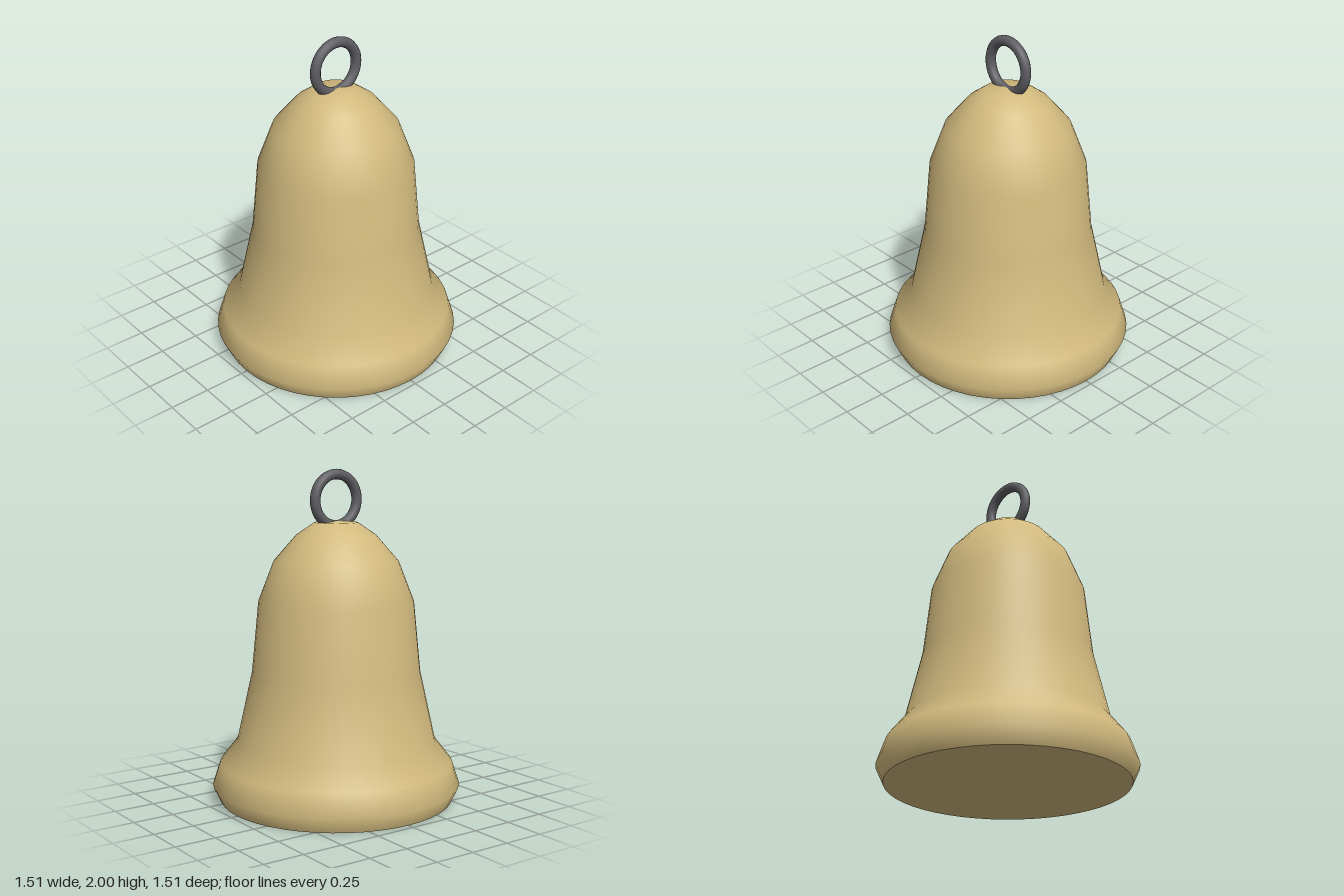
import * as THREE from 'three';

const SEGMENTS = 48;

export function createModel() {
  const model = new THREE.Group();
  model.name = 'bell';

  const brass = new THREE.MeshStandardMaterial({ color: 0xd2ba7e });
  brass.name = 'brass';
  const iron = new THREE.MeshStandardMaterial({ color: 0x5e5e63 });
  iron.name = 'dark iron';

  const add = (name, geometry, material) => {
    const mesh = new THREE.Mesh(geometry, material);
    mesh.name = name;
    model.add(mesh);
    return mesh;
  };

  // Bell wall, from the lip up to the crown
  const profile = [
    [0.71, 0], [0.755, 0.095], [0.71, 0.23], [0.605, 0.365], [0.51, 0.79],
    [0.468, 1.215], [0.375, 1.455], [0.24, 1.61], [0.13, 1.685], [0, 1.695],
  ].map(([r, y]) => new THREE.Vector2(r, y));
  add('bellBody', new THREE.LatheGeometry(profile, SEGMENTS), brass);

  // Flat closed underside
  const base = new THREE.CircleGeometry(0.71, SEGMENTS);
  base.rotateX(Math.PI / 2);
  add('bellBase', base, brass);

  // Hanging ring, sunk slightly into the crown
  const ring = add('hangingRing', new THREE.TorusGeometry(0.151, 0.031, 12, 40), iron);
  ring.position.y = 1.818;

  return model;
}
